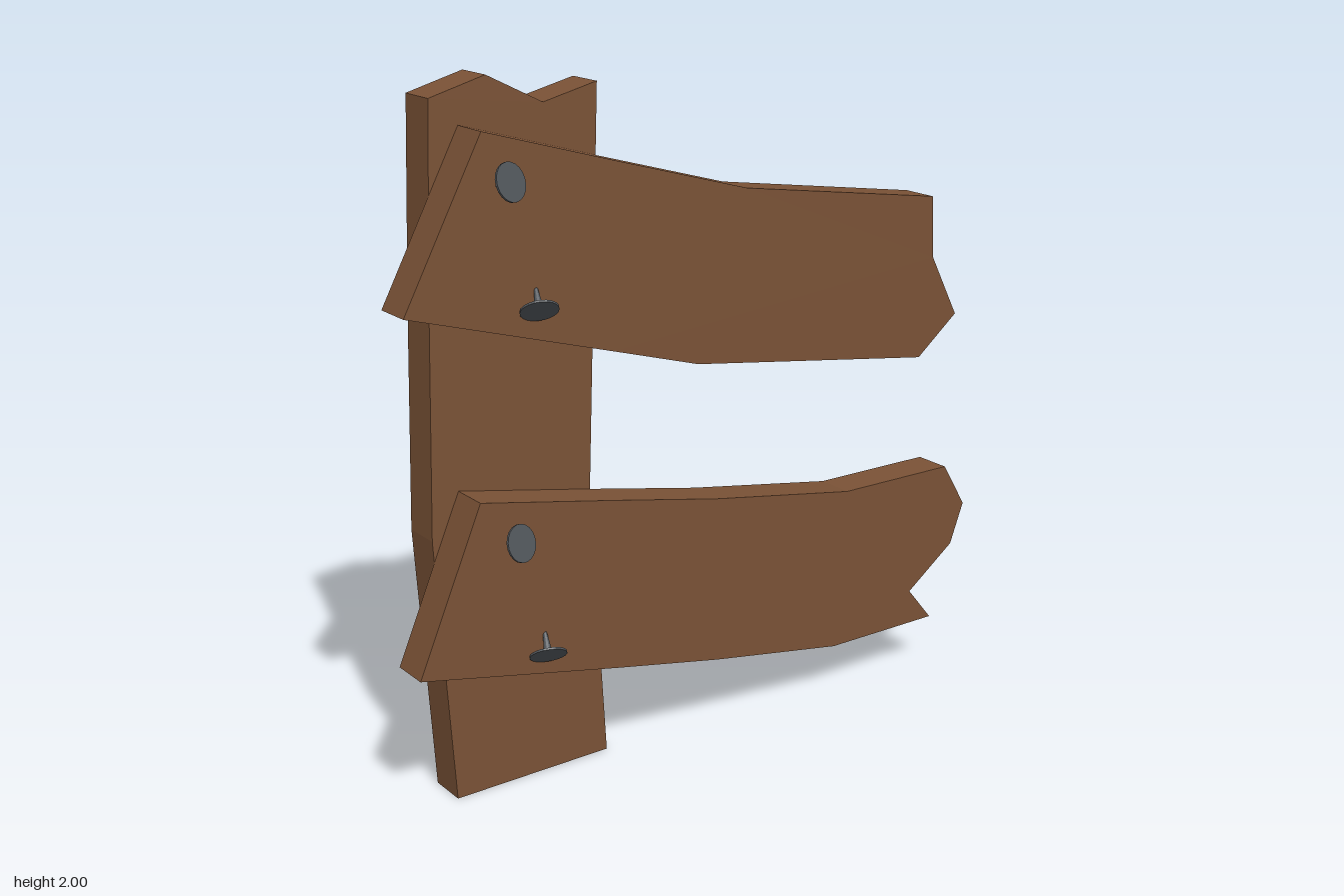
import * as THREE from 'three';

const THICK = 0.115;
const wood = new THREE.MeshStandardMaterial({ color: 0x7a5236, flatShading: true });
const iron = new THREE.MeshStandardMaterial({ color: 0x50555a });

// Flat board from a (z, y) outline, its +x face lying at the given x
function board(name, outline, x) {
  const shape = new THREE.Shape(outline.map(([z, y]) => new THREE.Vector2(z, y)));
  const geo = new THREE.ExtrudeGeometry(shape, { depth: THICK, bevelEnabled: false });
  geo.rotateY(-Math.PI / 2).translate(x, 0, 0);
  const mesh = new THREE.Mesh(geo, wood);
  mesh.name = name;
  return mesh;
}

// Bent nail: flat round head, shallow cone behind it, tapering shank
function nail(name, head, facing) {
  const group = new THREE.Group();
  group.name = name;
  const profile = [[0, -0.08], [0.006, -0.06], [0.011, -0.014], [0.052, -0.003], [0.052, 0.003], [0, 0.003]];
  const geo = new THREE.LatheGeometry(profile.map(([r, y]) => new THREE.Vector2(r, y)), 20).toNonIndexed();
  geo.computeVertexNormals();
  const mesh = new THREE.Mesh(geo, iron);
  mesh.name = 'nailBody';
  group.add(mesh);
  group.position.set(...head);
  group.quaternion.setFromUnitVectors(new THREE.Vector3(0, 1, 0), new THREE.Vector3(...facing).normalize());
  return group;
}

export function createModel() {
  const model = new THREE.Group();
  model.name = 'brokenFence';

  // Upright post with a jagged top
  model.add(board('post', [
    [0.82, 0], [0.32, 0], [0.363, 0.8], [0.345, 1.24], [0.317, 1.955],
    [0.485, 1.915], [0.655, 2], [0.822, 1.955], [0.845, 1.4], [0.865, 0.78],
  ], -0.04));

  // Snapped rails
  model.add(board('upperRail', [
    [0.98, 1.435], [0.35, 1.245], [0.07, 1.16], [-0.765, 1.035], [-0.91, 1.15],
    [-0.81, 1.34], [-0.8, 1.528], [-0.1, 1.637], [0.33, 1.76], [0.74, 1.88],
  ], 0.075));
  model.add(board('lowerRail', [
    [0.98, 0.447], [0.35, 0.312], [0, 0.24], [-0.45, 0.16], [-0.85, 0.156],
    [-0.76, 0.265], [-0.93, 0.388], [-0.978, 0.515], [-0.893, 0.655],
    [-0.49, 0.66], [0, 0.745], [0.36, 0.82], [0.78, 0.905],
  ], 0.075));

  // A pair of nails on each rail
  for (const [rail, drop] of [['upper', 0], ['lower', 0.97]]) {
    model.add(nail(rail + 'RailTopNail', [0.115, 1.752 - drop, 0.683], [1, 0.33, -0.3]));
    model.add(nail(rail + 'RailBottomNail', [0.113, 1.408 - drop, 0.607], [0.65, -0.75, 0.25]));
  }
  return model;
}
